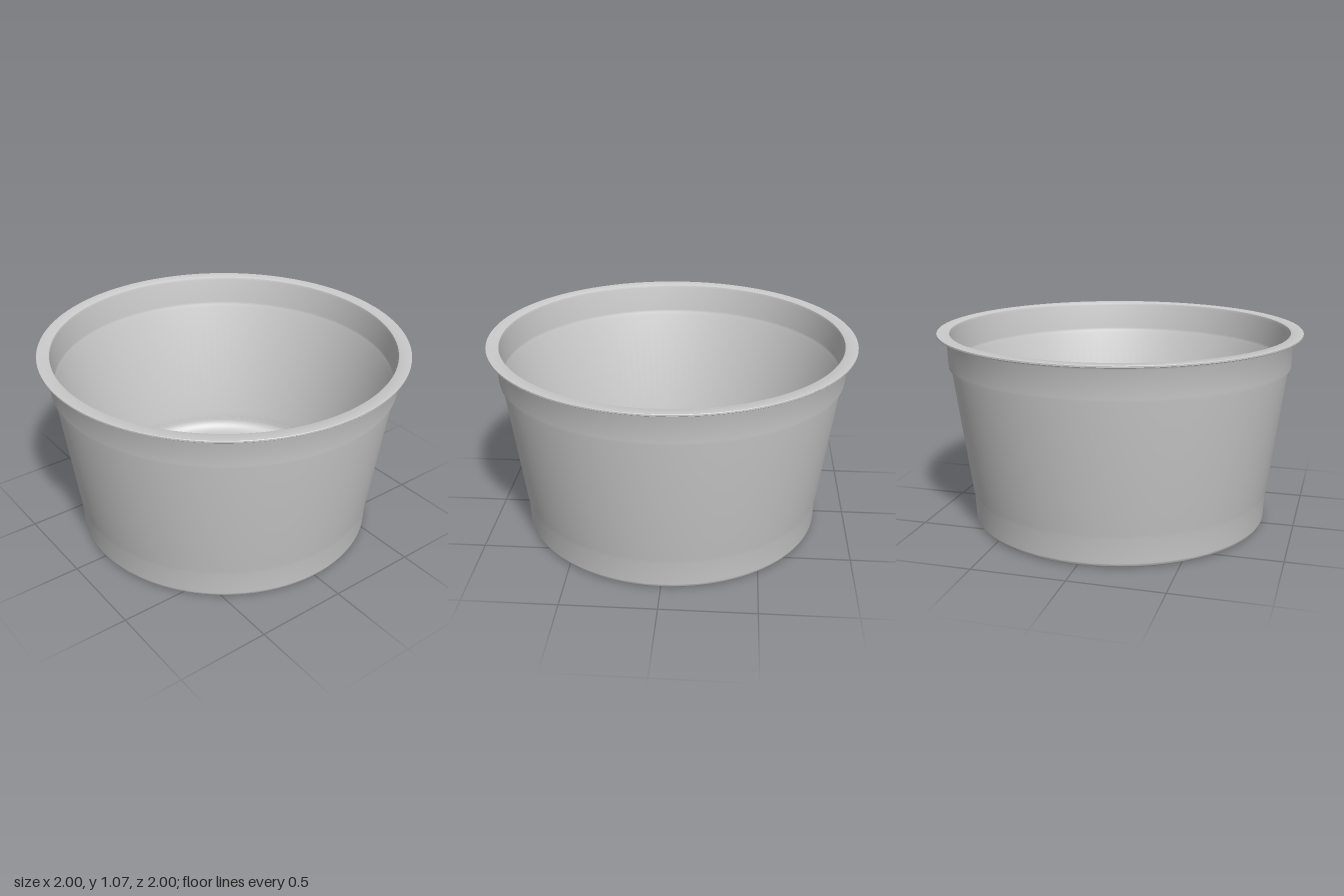
import * as THREE from 'three';
import { toCreasedNormals } from 'three/addons/utils/BufferGeometryUtils.js';

const SEGMENTS = 128;

// Revolve [radius, height] pairs around y, keeping sharp bends crisp
function revolve(name, profile, material) {
  const points = profile.map(([r, y]) => new THREE.Vector2(r, y));
  const geometry = toCreasedNormals(new THREE.LatheGeometry(points, SEGMENTS), 0.6);
  const mesh = new THREE.Mesh(geometry, material);
  mesh.name = name;
  return mesh;
}

// Points of a rounded corner, angles in degrees
function arc(cx, cy, radius, from, to, steps = 6) {
  return Array.from({ length: steps + 1 }, (_, i) => {
    const a = THREE.MathUtils.degToRad(from + ((to - from) * i) / steps);
    return [cx + radius * Math.cos(a), cy + radius * Math.sin(a)];
  });
}

export function createModel() {
  const group = new THREE.Group();
  group.name = 'tub';
  const material = new THREE.MeshStandardMaterial({ color: 0xcccccc });

  // Recessed underside with a small centre dimple and a shallow ring
  const underside = [
    [0, 0.042], [0.018, 0.042], [0.02, 0.035],
    [0.28, 0.035], [0.288, 0.03], [0.405, 0.03], [0.413, 0.035],
    [0.70, 0.035],
  ];

  // Rounded foot, tapered wall and stepped collar
  const outside = [
    [0.72, 0.03], [0.745, 0.012], [0.765, 0.003],
    ...arc(0.801, 0.025, 0.025, -90, 0),
    [0.832, 0.155], [0.838, 0.18], [0.93, 0.885],
    [0.942, 0.885], [0.944, 0.9], [0.949, 1.04],
  ];

  // Thin flange around the mouth
  const rim = [
    [0.955, 1.053], [0.965, 1.058], [0.998, 1.06],
    [1.0, 1.062], [1.0, 1.07], [0.998, 1.072], [0.94, 1.072],
  ];

  // Inner wall with the matching step, blending into the floor
  const inside = [
    [0.932, 1.068], [0.928, 1.055],
    [0.924, 0.91], [0.921, 0.895], [0.913, 0.88],
    [0.818, 0.18], [0.812, 0.155],
    [0.808, 0.12],
    ...arc(0.735, 0.12, 0.07, 0, -90, 8),
    [0.65, 0.05], [0.02, 0.05], [0, 0.053],
  ];

  group.add(revolve('container', [...underside, ...outside, ...rim, ...inside], material));
  return group;
}
